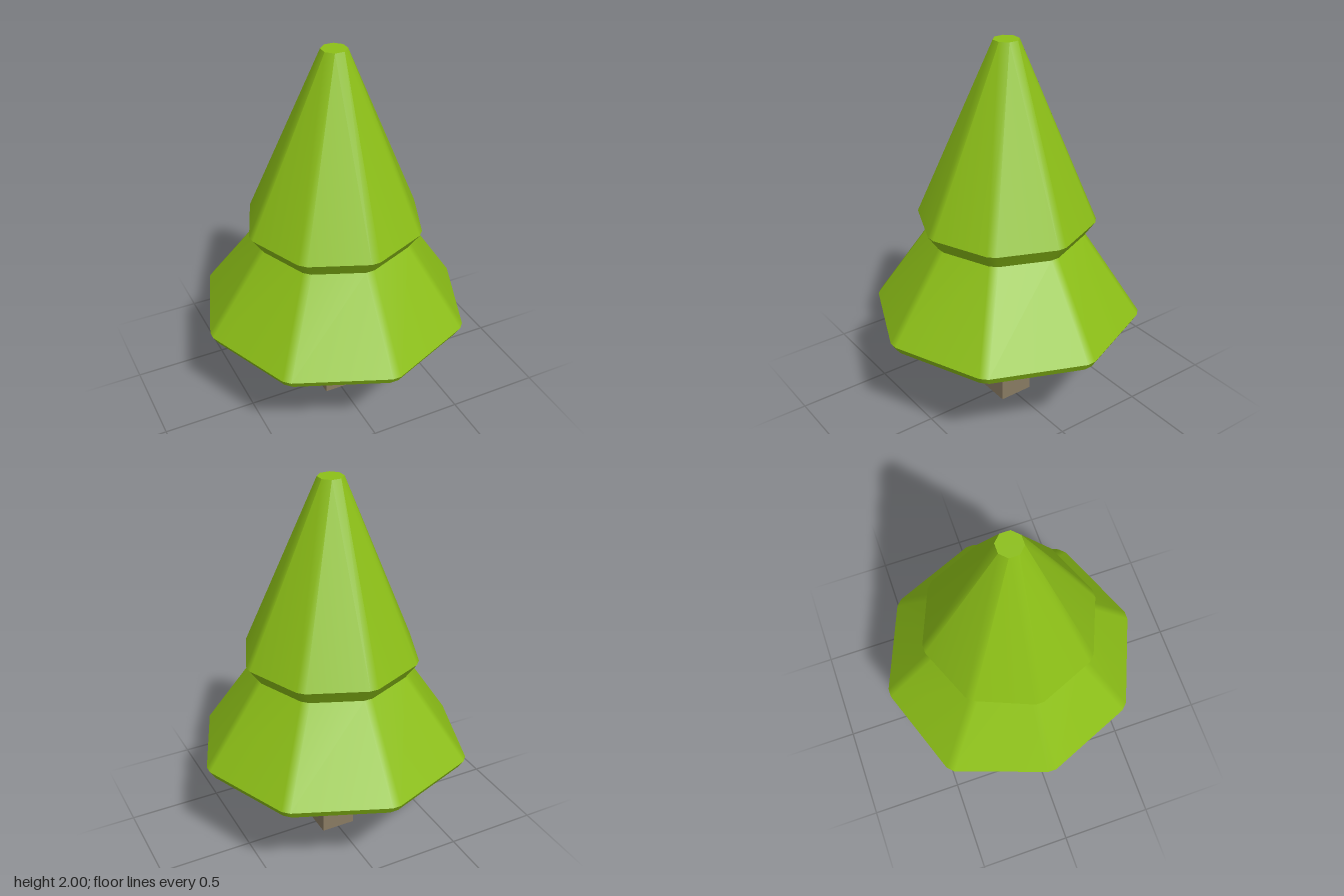
import * as THREE from 'three';
import { mergeGeometries } from 'three/addons/utils/BufferGeometryUtils.js';

const SIDES = 8;

// Octagonal ring with clipped corners; one back corner may stick out a little.
function ring({ y, r, clip = 0.023, bulge = 0 }) {
  const points = [];
  for (let k = 0; k < SIDES; k++) {
    const a = (k / SIDES) * Math.PI * 2;
    const radius = r + (k === 5 ? bulge : 0);
    for (const side of [-clip, clip]) {
      points.push([
        radius * Math.sin(a) + side * Math.cos(a),
        y,
        radius * Math.cos(a) - side * Math.sin(a),
      ]);
    }
  }
  return points;
}

// Smooth band between two rings; its own vertices keep the rims sharp.
function band(low, high) {
  const n = SIDES * 2;
  const index = [];
  for (let i = 0; i < n; i++) {
    const j = (i + 1) % n;
    if (low.r > 0) index.push(i, j, n + j);
    if (high.r > 0) index.push(i, n + j, n + i);
  }
  const geometry = new THREE.BufferGeometry();
  geometry.setAttribute('position',
    new THREE.Float32BufferAttribute([...ring(low), ...ring(high)].flat(), 3));
  geometry.setIndex(index);
  geometry.computeVertexNormals();
  return geometry;
}

function bands(profile) {
  return mergeGeometries(profile.slice(1).map((p, i) => band(profile[i], p)));
}

export function createModel() {
  const tree = new THREE.Group();
  tree.name = 'tree';
  const leaf = new THREE.MeshStandardMaterial({ color: 0x8cbf17 });
  const wood = new THREE.MeshStandardMaterial({ color: 0x887a62 });

  const add = (name, geometry, material) => {
    const mesh = new THREE.Mesh(geometry, material);
    mesh.name = name;
    tree.add(mesh);
    return mesh;
  };

  const waist = { y: 1.0, r: 0.4 };

  // Wide lower skirt of foliage, closed underneath
  add('lowerFoliage', bands([
    { y: 0.515, r: 0, clip: 0 },
    { y: 0.515, r: 0.675, bulge: 0.025 },
    { y: 0.557, r: 0.7, bulge: 0.028 },
    waist,
  ]), leaf);

  // Upper cone with an overhanging rim and a flat tip
  add('upperFoliage', bands([
    waist,
    { y: 1.082, r: 0.457 },
    { y: 2, r: 0.06, clip: 0.025 },
    { y: 2, r: 0, clip: 0 },
  ]), leaf);

  // Square trunk
  add('trunk', new THREE.BoxGeometry(0.187, 0.53, 0.187), wood).position.y = 0.265;

  return tree;
}
